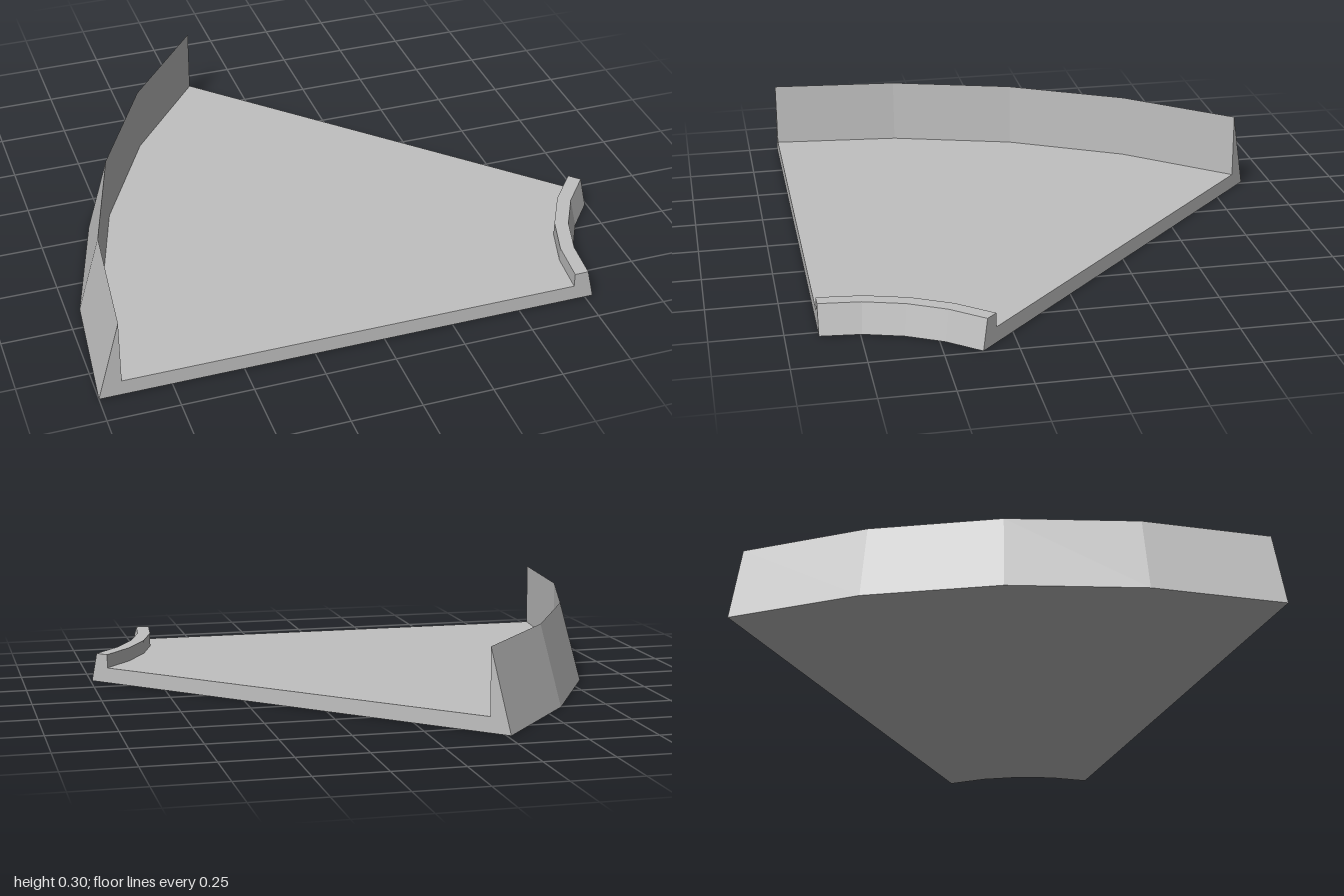
import * as THREE from 'three';

// Sweep centre, sweep angle and facet count
const CX = 1.51, CZ = 0.887, SWEEP = Math.PI / 4, STEPS = 4;

// Sweeps a closed counter-clockwise (radius, height) profile round the centre, with flat end caps
function sweepProfile(profile) {
  const positions = [];
  const at = ([r, y], step) => {
    const a = SWEEP * step / STEPS;
    return [CX - r * Math.cos(a), y, CZ - r * Math.sin(a)];
  };
  const tri = (a, b, c) => positions.push(...a, ...b, ...c);

  for (let s = 0; s < STEPS; s++) {
    profile.forEach((p, i) => {
      const q = profile[(i + 1) % profile.length];
      tri(at(p, s), at(q, s), at(q, s + 1));
      tri(at(p, s), at(q, s + 1), at(p, s + 1));
    });
  }

  const contour = profile.map(([r, y]) => new THREE.Vector2(r, y));
  for (const [i, j, k] of THREE.ShapeUtils.triangulateShape(contour, [])) {
    tri(at(profile[i], STEPS), at(profile[j], STEPS), at(profile[k], STEPS));
    tri(at(profile[i], 0), at(profile[k], 0), at(profile[j], 0));
  }

  const geometry = new THREE.BufferGeometry();
  geometry.setAttribute('position', new THREE.Float32BufferAttribute(positions, 3));
  geometry.computeVertexNormals();
  return geometry;
}

export function createModel() {
  const group = new THREE.Group();
  group.name = 'curvedTrackSection';

  const grey = new THREE.MeshStandardMaterial({ color: 0xc0c0c0, flatShading: true });
  grey.name = 'light grey';

  // Low inner kerb, flat floor and tall knife-edged outer wall in one section
  const section = new THREE.Mesh(sweepProfile([
    [0.73, 0], [2.51, 0],            // underside
    [2.43, 0.297], [2.43, 0.057],    // outer wall
    [0.805, 0.057],                  // floor
    [0.805, 0.108], [0.755, 0.108],  // inner kerb
  ]), grey);
  section.name = 'floorWithWalls';
  group.add(section);

  return group;
}
